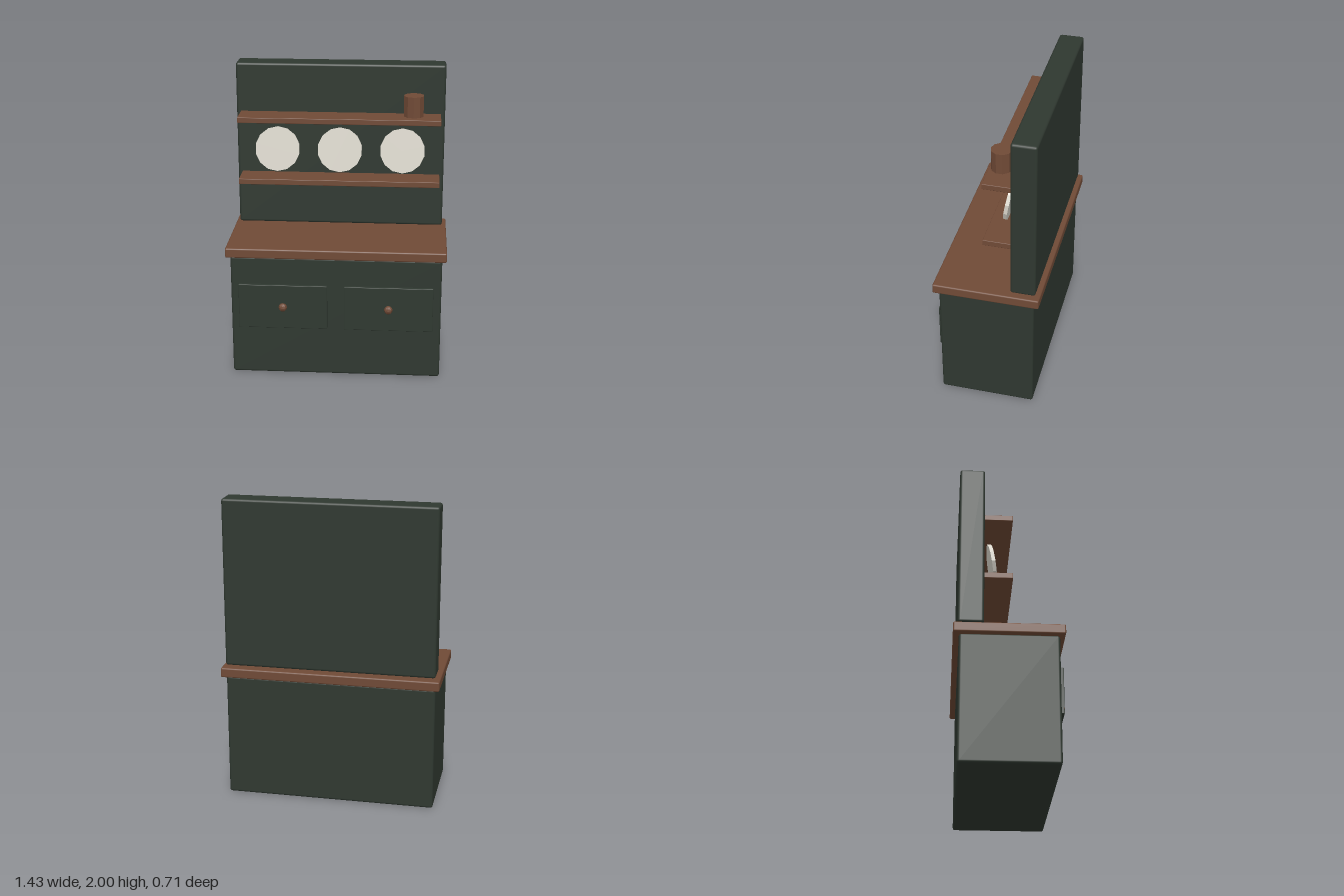
import * as THREE from 'three';
import { RoundedBoxGeometry } from 'three/addons/geometries/RoundedBoxGeometry.js';

const green = new THREE.MeshStandardMaterial({ color: 0x2f3830 });
green.name = 'dark green paint';
const wood = new THREE.MeshStandardMaterial({ color: 0x704a36 });
wood.name = 'brown wood';
const cream = new THREE.MeshStandardMaterial({ color: 0xd8d4c9 });
cream.name = 'cream china';

// Faceted copy of a geometry
function faceted(geometry) {
  const g = geometry.toNonIndexed();
  g.computeVertexNormals();
  return g;
}

export function createModel() {
  const model = new THREE.Group();
  model.name = 'kitchenDresser';

  function add(name, geometry, material, x, y, z) {
    const mesh = new THREE.Mesh(geometry, material);
    mesh.name = name;
    mesh.position.set(x, y, z);
    model.add(mesh);
    return mesh;
  }

  // Softly bevelled box given by its half width and its y and z ranges
  function slab(name, material, halfWidth, [y0, y1], [z0, z1], bevel, x = 0) {
    const g = new RoundedBoxGeometry(2 * halfWidth, y1 - y0, z1 - z0, 2, bevel);
    return add(name, g, material, x, (y0 + y1) / 2, (z0 + z1) / 2);
  }

  // Cabinet, worktop and tall back
  slab('cabinet', green, 0.687, [0, 0.825], [-0.318, 0.298], 0.016);
  slab('worktop', wood, 0.715, [0.825, 0.89], [-0.354, 0.332], 0.01);
  slab('backPanel', green, 0.687, [0.903, 2], [-0.327, -0.166], 0.016);

  // Plate shelves
  slab('lowerShelf', wood, 0.66, [1.225, 1.263], [-0.174, 0.014], 0.004);
  slab('upperShelf', wood, 0.66, [1.641, 1.678], [-0.174, 0.014], 0.004);

  // Drawers with round knobs
  for (const [side, s] of [['left', 1], ['right', -1]]) {
    slab(side + 'Drawer', green, 0.29, [0.335, 0.637], [0.29, 0.32], 0.004, s * 0.345);
    add(side + 'Knob', faceted(new THREE.SphereGeometry(0.028, 8, 6)), wood, s * 0.345, 0.486, 0.326);
  }

  // Plates leaning back
  const plate = faceted(new THREE.CylinderGeometry(0.148, 0.148, 0.023, 14));
  plate.rotateX(Math.PI / 2 - 0.17);
  [-0.413, 0, 0.413].forEach((x, i) => add('plate' + (i + 1), plate, cream, x, 1.438, -0.109));

  // Wooden mug on the upper shelf
  add('mug', faceted(new THREE.CylinderGeometry(0.067, 0.067, 0.135, 10)), wood, 0.482, 1.756, -0.066);

  return model;
}
